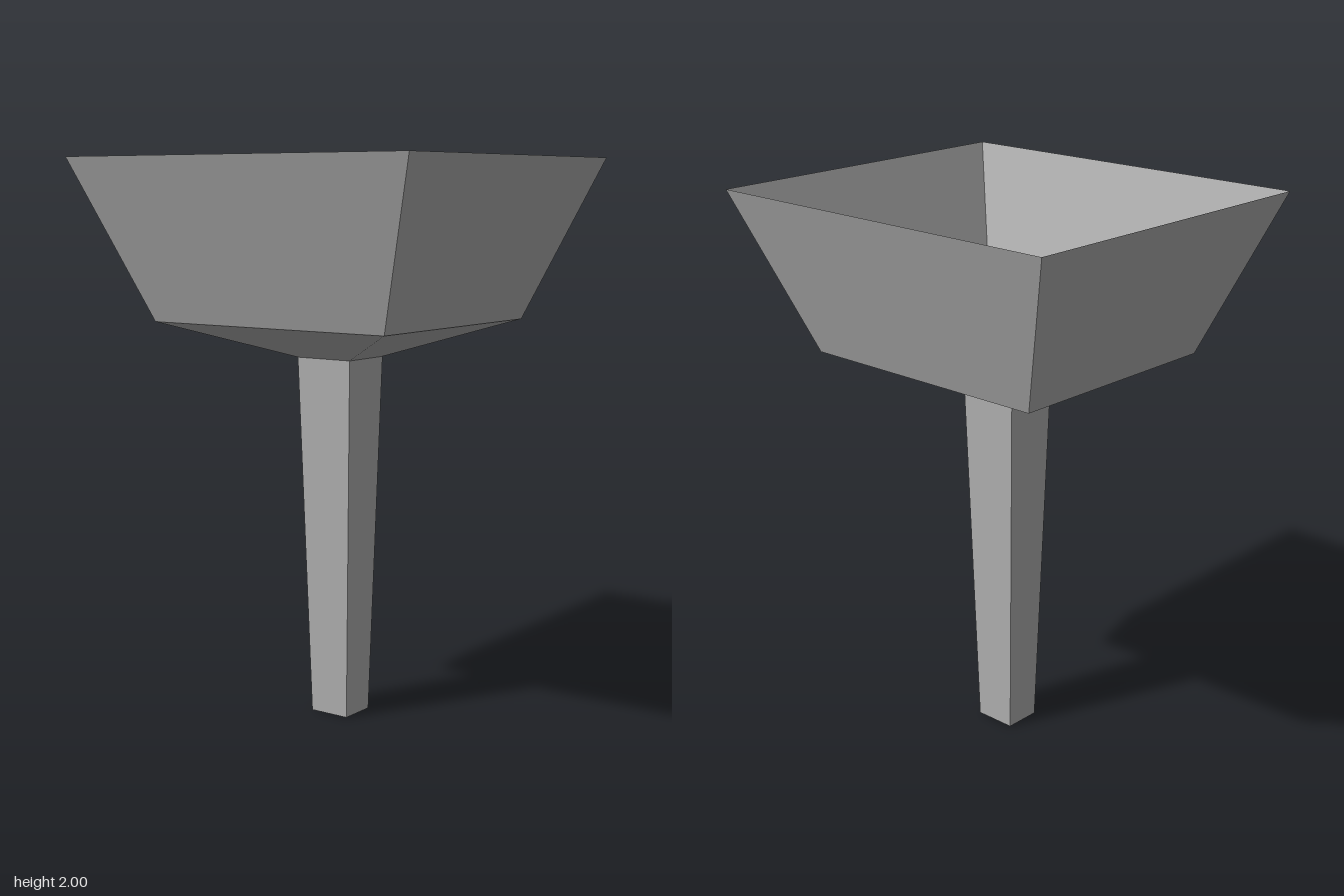
import * as THREE from 'three';

const DEPTH_RATIO = 0.888; // depth relative to width

// Four-sided taper between two heights, with half-widths at top and bottom
function taper(name, material, topHalf, bottomHalf, topY, bottomY, open) {
  const indexed = new THREE.CylinderGeometry(
    topHalf * Math.SQRT2, bottomHalf * Math.SQRT2, topY - bottomY, 4, 1, open, Math.PI / 4);
  indexed.scale(1, 1, DEPTH_RATIO);
  indexed.translate(0, (topY + bottomY) / 2, 0);
  const geometry = indexed.toNonIndexed();
  geometry.computeVertexNormals(); // flat faces
  const mesh = new THREE.Mesh(geometry, material);
  mesh.name = name;
  return mesh;
}

export function createModel() {
  const group = new THREE.Group();
  group.name = 'pedestalBasin';

  const grey = new THREE.MeshStandardMaterial({ color: 0xb0b0b0, side: THREE.DoubleSide });
  grey.name = 'grey';

  // Thin flared walls, open at the top
  group.add(taper('basinWalls', grey, 0.71, 0.487, 2, 1.43, true));

  // Sloping underside
  group.add(taper('basinUnderside', grey, 0.487, 0.113, 1.43, 1.3, true));

  // Flat floor of the basin
  const floor = new THREE.Mesh(new THREE.PlaneGeometry(0.974, 0.974 * DEPTH_RATIO), grey);
  floor.name = 'basinFloor';
  floor.rotation.x = -Math.PI / 2;
  floor.position.y = 1.43;
  group.add(floor);

  // Slender stem narrowing towards the foot
  group.add(taper('stem', grey, 0.113, 0.077, 1.3, 0, false));

  return group;
}
